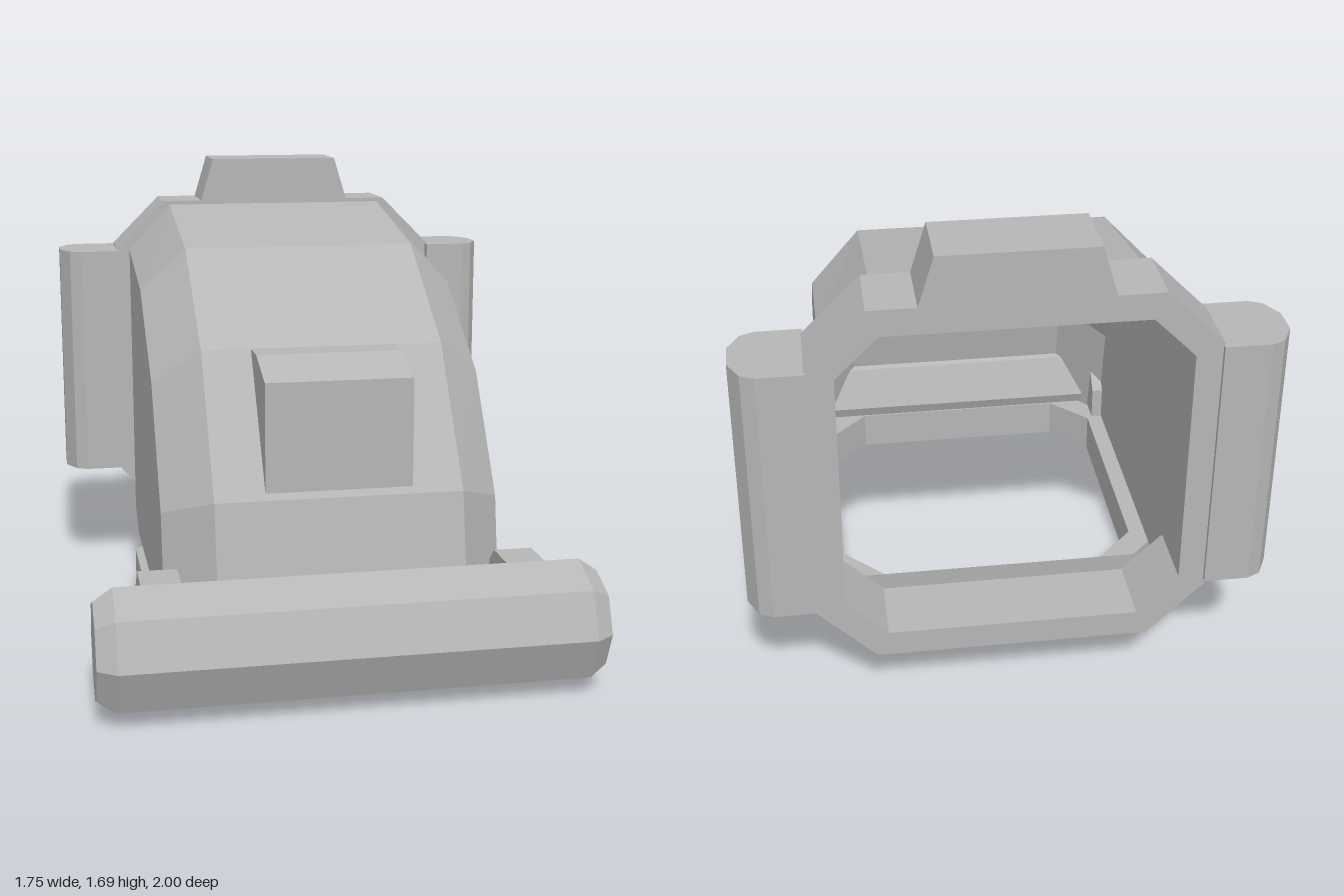
import * as THREE from 'three';

export function createModel() {
  const model = new THREE.Group();
  const grey = new THREE.MeshStandardMaterial({ color: 0xb6b6b6, side: THREE.DoubleSide });
  grey.name = 'plain grey';

  const add = (name, geometry) => {
    const flat = geometry.index ? geometry.toNonIndexed() : geometry;
    flat.computeVertexNormals();
    const mesh = new THREE.Mesh(flat, grey);
    mesh.name = name;
    model.add(mesh);
    return mesh;
  };
  const shape = (pts) => new THREE.Shape(pts.map(([x, y]) => new THREE.Vector2(x, y)));
  const extrude = (s, depth) => new THREE.ExtrudeGeometry(s, { depth, bevelEnabled: false });

  // Rectangle with cut corners, and a frame made of two of them
  const octagon = (w, h, c) => [
    [w, -h + c], [w, h - c], [w - c, h], [-w + c, h],
    [-w, h - c], [-w, -h + c], [-w + c, -h], [w - c, -h],
  ];
  const frame = (w, h, c, t, depth) => {
    const s = shape(octagon(w, h, c));
    s.holes.push(shape(octagon(w - t, h - t, c - 0.586 * t)));
    return extrude(s, depth);
  };
  // Outline given as [z, y], extruded across x and centred at x = cx
  const sideExtrude = (pts, width, cx = 0) =>
    extrude(shape(pts), width).rotateY(-Math.PI / 2).translate(cx + width / 2, 0, 0);

  // Curved hood: crown line and shoulder line as [z, y], bottom to top
  const crown = [[0.69, 0.175], [0.6, 0.64], [0.28, 1.1], [-0.17, 1.4], [-0.75, 1.51]];
  const shoulder = [[0.51, 0.175], [0.44, 0.57], [0.17, 0.97], [-0.23, 1.24], [-0.75, 1.33]];
  const pos = [];
  const index = [];
  crown.forEach(([cz, cy], i) => {
    const [sz, sy] = shoulder[i];
    pos.push(-0.595, sy, sz, -0.43, cy, cz, 0.43, cy, cz, 0.595, sy, sz);
    if (i === 0) return;
    for (let j = 0; j < 3; j++) {
      const a = (i - 1) * 4 + j;
      const b = a + 4;
      index.push(a, a + 1, b + 1, a, b + 1, b);
    }
  });
  const hood = new THREE.BufferGeometry();
  hood.setAttribute('position', new THREE.Float32BufferAttribute(pos, 3));
  hood.setIndex(index);
  add('hood', hood);

  // Flat cheeks and the sloping sill at the inner corner
  const cheek = [...shoulder, [-0.75, 0.25], [-0.62, 0.175]];
  for (const s of [-1, 1]) {
    const g = new THREE.ShapeGeometry(shape(cheek)).rotateY(s * Math.PI / 2);
    if (s > 0) g.rotateY(Math.PI).scale(1, 1, 1);
    add(s > 0 ? 'leftCheek' : 'rightCheek', g.translate(s * 0.595, 0, 0));
  }
  add('innerSill', sideExtrude([[-0.5, 0.175], [-0.62, 0.175], [-0.75, 0.25], [-0.75, 0.3]], 1.18));

  // Frames round the lower and rear openings
  add('bottomFrame', frame(0.625, 0.63, 0.19, 0.09, 0.145)
    .rotateX(Math.PI / 2).translate(0, 0.175, 0.04));
  add('rearFrame', frame(0.645, 0.6525, 0.19, 0.09, 0.235).translate(0, 0.8725, -0.985));
  add('topCap', extrude(shape([[-0.3, 1.525], [0.3, 1.525], [0.25, 1.69], [-0.25, 1.69]]), 0.235)
    .translate(0, 0, -0.985));

  // Box on the sloping front
  add('frontBox', sideExtrude([[0.585, 0.66], [0.585, 1.04], [0.4, 1.1], [0.28, 1.1]], 0.51));

  // Eight-sided front roller with bevelled ends
  const profile = [[0, -0.85], [0.17, -0.85], [0.215, -0.785], [0.215, 0.785], [0.17, 0.85], [0, 0.85]];
  add('roller', new THREE.LatheGeometry(profile.map(([r, y]) => new THREE.Vector2(r, y)), 8)
    .rotateZ(-Math.PI / 2).translate(0, 0.22, 0.783));

  // Roller brackets and upright side posts
  const bracket = octagon(0.19, 0.19, 0.111).map(([z, y]) => [z + 0.647, y + 0.22]);
  const post = [
    [0.64, -0.143], [0.79, -0.143], [0.835, -0.122], [0.873, -0.05],
    [0.873, 0.05], [0.835, 0.122], [0.79, 0.143], [0.64, 0.143],
  ];
  for (const s of [-1, 1]) {
    const side = s > 0 ? 'left' : 'right';
    add(side + 'Bracket', sideExtrude(bracket, 0.135, s * 0.6225));
    add(side + 'Post', extrude(shape(post.map(([x, z]) => [s * x, z])), 0.9)
      .rotateX(Math.PI / 2).translate(0, 1.33, -0.857));
  }
  return model;
}
